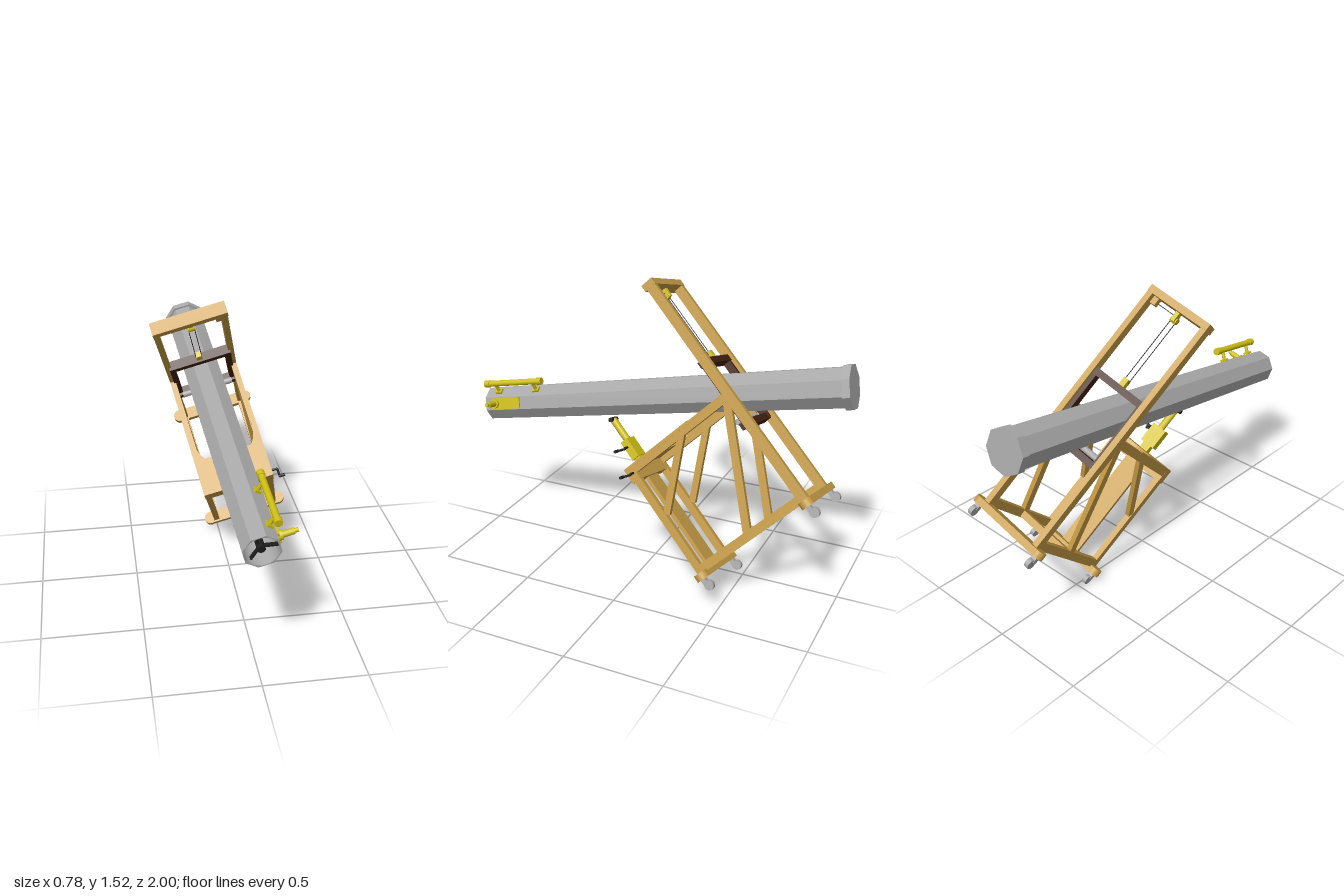
import * as THREE from 'three';

const std = (name, color, side = THREE.FrontSide) => {
  const m = new THREE.MeshStandardMaterial({ color, side });
  m.name = name;
  return m;
};

export function createModel() {
  const wood = std('oak wood', 0xc49a45);
  const darkWood = std('dark wood', 0x43200f);
  const grey = std('tube grey', 0xa8a8a8, THREE.DoubleSide);
  const brass = std('brass yellow', 0xcdbc12);
  const black = std('black iron', 0x1c1c1c);

  const root = new THREE.Group();
  root.name = 'telescope';
  const tilt = new THREE.Group();
  tilt.name = 'tilt';
  tilt.rotation.z = 0.262;
  root.add(tilt);

  const stand = new THREE.Group();
  stand.name = 'stand';
  stand.position.x = 0.18;
  stand.rotation.x = Math.PI / 4;
  tilt.add(stand);

  const tube = new THREE.Group();
  tube.name = 'tubeAssembly';
  tube.position.set(0.178, 0.89, 0.005);
  tube.rotation.x = 0.197;
  tilt.add(tube);

  const add = (parent, name, geo, mat, x = 0, y = 0, z = 0) => {
    const m = new THREE.Mesh(geo, mat);
    m.name = name;
    m.position.set(x, y, z);
    parent.add(m);
    return m;
  };
  const box = (parent, name, mat, w, h, d, x, y, z) =>
    add(parent, name, new THREE.BoxGeometry(w, h, d), mat, x, y, z);
  // Round rod between two points
  const rod = (parent, name, mat, a, b, r, seg = 12) => {
    const p = new THREE.Vector3(...a), q = new THREE.Vector3(...b);
    const m = add(parent, name, new THREE.CylinderGeometry(r, r, p.distanceTo(q), seg), mat);
    m.position.copy(p).add(q).multiplyScalar(0.5);
    m.quaternion.setFromUnitVectors(new THREE.Vector3(0, 1, 0), q.sub(p).normalize());
    return m;
  };
  // Square bar lying in a side plane, from (y, z) to (y, z)
  const sideBar = (name, x, y0, z0, y1, z1, w, d) => {
    const m = box(stand, name, wood, w, Math.hypot(y1 - y0, z1 - z0), d, x, (y0 + y1) / 2, (z0 + z1) / 2);
    m.rotation.x = Math.atan2(z1 - z0, y1 - y0);
    return m;
  };

  // Side frames, mirrored
  for (const s of [-1, 1]) {
    const x = s * 0.17;
    box(stand, 'rearPost', wood, 0.03, 1.29, 0.05, x, 0.425, -0.99);
    box(stand, 'frontPost', wood, 0.03, 0.6, 0.04, x, 0.08, -0.342);
    box(stand, 'baseRail', wood, 0.03, 0.045, 0.66, x, -0.205, -0.67);
    box(stand, 'tableRail', wood, 0.03, 0.045, 0.66, x, 0.39, -0.67);
    sideBar('shortBrace', x, 0.11, -0.365, 0.385, -0.68, 0.026, 0.035);
    sideBar('longBrace', x, -0.21, -0.65, 0.39, -0.975, 0.026, 0.04);
    // Casters
    for (const z of [-0.345, -1.0]) {
      const cx = s * 0.203;
      add(stand, 'footPad', new THREE.CylinderGeometry(0.034, 0.034, 0.036, 20), wood, cx, -0.235, z);
      box(stand, 'casterFork', grey, 0.03, 0.03, 0.024, cx, -0.266, z);
      const wheel = add(stand, 'casterWheel', new THREE.CylinderGeometry(0.025, 0.025, 0.024, 16), grey, cx, -0.292, z - 0.008);
      wheel.rotation.z = Math.PI / 2;
    }
  }

  // Cross members
  box(stand, 'frontFootBeam', wood, 0.406, 0.036, 0.066, 0, -0.235, -0.345);
  box(stand, 'rearFootBeam', wood, 0.406, 0.036, 0.066, 0, -0.235, -1.0);
  box(stand, 'middleCrossbar', wood, 0.34, 0.036, 0.04, 0, -0.205, -0.665);
  box(stand, 'topBeam', wood, 0.372, 0.036, 0.066, 0, 1.056, -0.985);
  box(stand, 'frontPlank', wood, 0.117, 0.6, 0.02, 0, 0.08, -0.333);
  box(stand, 'apron', wood, 0.372, 0.08, 0.05, 0, 0.372, -0.335);

  // Table top with a rounded bay for the tube
  const top = new THREE.Shape();
  top.moveTo(-0.186, 0.31);
  top.lineTo(0.186, 0.31);
  top.lineTo(0.186, 0.74);
  top.lineTo(0.16, 0.74);
  top.lineTo(0.16, 0.6);
  top.absarc(0, 0.6, 0.16, 0, Math.PI, true);
  top.lineTo(-0.16, 0.74);
  top.lineTo(-0.186, 0.74);
  const table = add(stand, 'tableTop',
    new THREE.ExtrudeGeometry(top, { depth: 0.016, bevelEnabled: false, curveSegments: 32 }), wood, 0, 0.4, 0);
  table.rotation.x = -Math.PI / 2;

  // Dark sliding frame between the rear posts
  for (const s of [-1, 1]) box(stand, 'slideSide', darkWood, 0.03, 0.38, 0.04, s * 0.15, 0.41, -0.975);
  box(stand, 'slideTop', darkWood, 0.33, 0.035, 0.05, 0, 0.588, -0.975);
  box(stand, 'slideBottom', darkWood, 0.33, 0.035, 0.05, 0, 0.232, -0.965);
  rod(stand, 'supportRoller', grey, [-0.14, 0.265, -0.935], [0.14, 0.265, -0.935], 0.016);

  // Hoisting pulleys and ropes
  box(stand, 'upperPulleyBlock', brass, 0.022, 0.05, 0.03, 0.0, 1.015, -0.975);
  rod(stand, 'upperPulley', brass, [-0.018, 1.0, -0.965], [0.018, 1.0, -0.965], 0.016);
  box(stand, 'lowerPulleyBlock', brass, 0.03, 0.045, 0.03, 0, 0.625, -0.975);
  box(stand, 'cornerBlock', wood, 0.03, 0.04, 0.03, 0.14, 1.02, -0.97);
  for (const s of [-1, 1])
    rod(stand, 'rope', black, [s * 0.015, 0.63, -0.97], [s * 0.015, 1.02, -0.97], 0.002, 6);
  rod(stand, 'ropeAcross', black, [0, 1.018, -0.965], [0.15, 1.018, -0.965], 0.002, 6);

  // Adjustable brass support on the table front
  box(stand, 'supportBox', brass, 0.085, 0.11, 0.045, 0, 0.505, -0.335);
  box(stand, 'supportFoot', brass, 0.05, 0.06, 0.035, 0, 0.44, -0.335);
  rod(stand, 'supportStem', brass, [0, 0.55, -0.335], [0, 0.69, -0.335], 0.019);
  rod(stand, 'supportHead', black, [-0.035, 0.69, -0.335], [0.035, 0.69, -0.335], 0.012);

  // Small cranks
  const crank = (x, y, z) => {
    rod(stand, 'crankAxle', black, [x - 0.03, y, z], [x + 0.015, y, z], 0.006);
    rod(stand, 'crankArm', black, [x + 0.012, y - 0.005, z], [x + 0.012, y + 0.012, z + 0.045], 0.006);
    rod(stand, 'crankGrip', black, [x + 0.008, y + 0.012, z + 0.045], [x + 0.04, y + 0.012, z + 0.045], 0.008);
  };
  crank(0.06, 0.52, -0.33);
  crank(0.205, 0.375, -0.345);

  // Octagonal tube, slightly wider at the back
  const R0 = 0.09, R1 = 0.104;
  const oct = (name, rf, rb, z0, z1, open) => {
    const g = new THREE.CylinderGeometry(rf, rb, z1 - z0, 8, 1, open, Math.PI / 8).toNonIndexed();
    g.computeVertexNormals();
    g.rotateX(Math.PI / 2);
    return add(tube, name, g, grey, 0, 0, (z0 + z1) / 2);
  };
  oct('tubeBody', R0, R1, -0.97, 1.0, true);
  oct('rearCap', 0.114, 0.114, -1.0, -0.962, false);

  // Round lining and front rim
  const lining = new THREE.CylinderGeometry(0.079, 0.079, 0.9, 32, 1, true);
  lining.rotateX(Math.PI / 2);
  add(tube, 'lining', lining, grey, 0, 0, 0.548);
  add(tube, 'innerEnd', new THREE.CircleGeometry(0.079, 32), grey, 0, 0, 0.1);
  const rim = new THREE.Shape();
  for (let i = 0; i < 8; i++) {
    const a = Math.PI / 8 + (i * Math.PI) / 4;
    rim[i ? 'lineTo' : 'moveTo'](R0 * Math.cos(a), R0 * Math.sin(a));
  }
  const hole = new THREE.Path();
  hole.absarc(0, 0, 0.079, 0, Math.PI * 2, true);
  rim.holes.push(hole);
  add(tube, 'frontRim', new THREE.ShapeGeometry(rim, 32), grey, 0, 0, 1.0);

  // Small mirror on three vanes
  rod(tube, 'smallMirror', black, [0, 0, 0.93], [0, 0, 0.985], 0.019, 20);
  for (let i = 0; i < 3; i++) {
    const a = Math.PI / 2 + (i * Math.PI * 2) / 3 + 0.26;
    const vane = box(tube, 'vane', black, 0.08, 0.007, 0.02, Math.cos(a) * 0.04, Math.sin(a) * 0.04, 0.96);
    vane.rotation.z = a;
  }

  // Finder on two brackets
  rod(tube, 'finder', brass, [0.1, 0.11, 0.63], [0.1, 0.11, 0.98], 0.016, 16);
  for (const z of [0.645, 0.965]) rod(tube, 'finderRing', brass, [0.1, 0.11, z - 0.015], [0.1, 0.11, z + 0.015], 0.019, 16);
  for (const z of [0.69, 0.92]) {
    rod(tube, 'finderBracket', brass, [0.06, 0.06, z], [0.1, 0.11, z], 0.009);
    const pad = box(tube, 'bracketPad', brass, 0.012, 0.03, 0.035, 0.064, 0.066, z);
    pad.rotation.z = Math.PI / 4;
  }

  // Eyepiece and its slide plate
  box(tube, 'slidePlate', brass, 0.009, 0.06, 0.17, 0.088, 0, 0.87);
  rod(tube, 'eyepieceFlange', brass, [0.085, 0, 0.935], [0.105, 0, 0.935], 0.024, 20);
  rod(tube, 'eyepieceTube', brass, [0.09, 0, 0.935], [0.16, 0, 0.935], 0.015, 16);
  rod(tube, 'eyepieceEnd', brass, [0.155, 0, 0.935], [0.178, 0, 0.935], 0.01, 16);

  return root;
}
